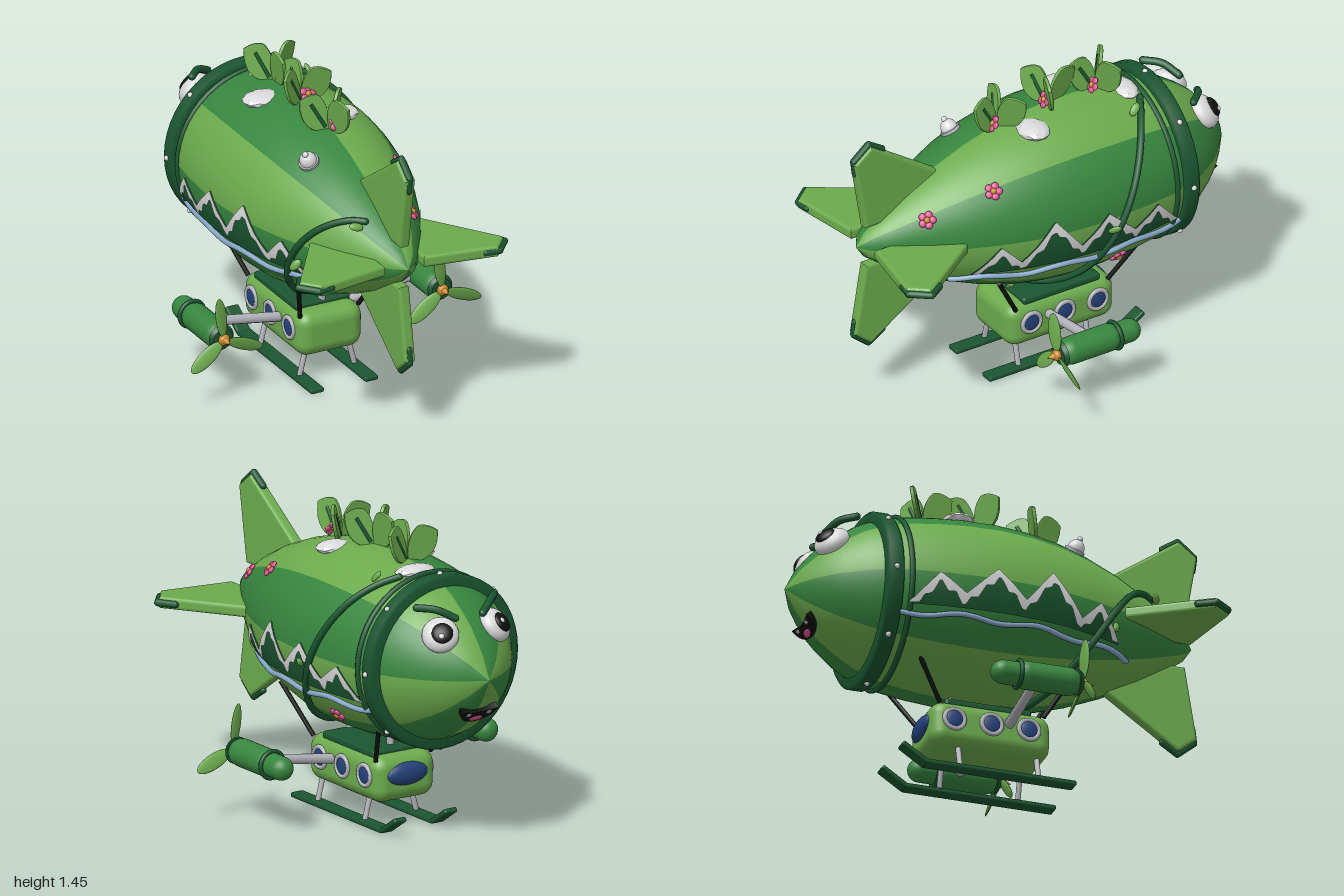
import * as THREE from 'three';
import { RoundedBoxGeometry } from 'three/addons/geometries/RoundedBoxGeometry.js';

const V = (x, y, z) => new THREE.Vector3(x, y, z);
const rad = THREE.MathUtils.degToRad;
const AXIS = 0.855; // height of the hull axis

// Hull profile: [z, radius] from nose to tail
const PROFILE = [[-1, 0], [-0.95, 0.1], [-0.9, 0.165], [-0.85, 0.22], [-0.8, 0.262], [-0.7, 0.33], [-0.6, 0.378],
  [-0.5, 0.402], [-0.35, 0.422], [-0.2, 0.432], [-0.05, 0.433], [0.1, 0.42], [0.25, 0.393], [0.4, 0.348],
  [0.55, 0.288], [0.7, 0.21], [0.85, 0.118], [0.93, 0.06], [0.97, 0]];

function hullRadius(z) {
  let i = 1;
  while (i < PROFILE.length - 1 && PROFILE[i][0] < z) i++;
  const [a, b] = [PROFILE[i - 1], PROFILE[i]];
  return THREE.MathUtils.lerp(a[1], b[1], (z - a[0]) / (b[0] - a[0]));
}
const onHull = (deg, z, off = 0) => {
  const r = hullRadius(z) + off;
  return V(r * Math.cos(rad(deg)), AXIS + r * Math.sin(rad(deg)), z);
};
// Point on the side of the hull at a given height
const onSide = (s, y, z, off) => {
  const r = hullRadius(z) + off;
  return V(s * Math.sqrt(Math.max(0, r * r - (y - AXIS) ** 2)), y, z);
};

export function createModel() {
  const mat = (name, color) => new THREE.MeshStandardMaterial({ name, color, side: THREE.DoubleSide });
  const light = mat('lightGreen', 0x6cab4d), mid = mat('midGreen', 0x37863f), dark = mat('darkGreen', 0x1a5530);
  const metal = mat('metal', 0xb4b4bc), white = mat('white', 0xdadadc), pink = mat('pink', 0xd9508f);
  const orange = mat('orange', 0xc88628), river = mat('riverBlue', 0x86a8c8), glass = mat('windowBlue', 0x24427c);
  const black = mat('black', 0x10140f);

  const model = new THREE.Group();
  model.name = 'airship';
  model.position.x = -0.013;
  const root = new THREE.Group();
  root.add(model);

  const add = (name, geo, m, parent = model, pos, scale) => {
    const mesh = new THREE.Mesh(geo, m);
    mesh.name = name;
    if (pos) mesh.position.set(...pos);
    if (scale) mesh.scale.set(...scale);
    parent.add(mesh);
    return mesh;
  };
  const ball = (name, m, parent, pos, scale) => add(name, new THREE.SphereGeometry(1, 20, 14), m, parent, pos, scale);
  const tube = (name, pts, r, m, parent = model, n = pts.length * 4) => {
    add(name, new THREE.TubeGeometry(new THREE.CatmullRomCurve3(pts), n, r, 8), m, parent);
    for (const p of [pts[0], pts[pts.length - 1]]) add(name + 'End', new THREE.SphereGeometry(r, 8, 6), m, parent, p.toArray());
  };
  const rod = (name, a, b, r, m, parent = model) => {
    const mesh = add(name, new THREE.CylinderGeometry(r, r, a.distanceTo(b), 10), m, parent);
    mesh.position.copy(a).lerp(b, 0.5);
    mesh.quaternion.setFromUnitVectors(V(0, 1, 0), b.clone().sub(a).normalize());
  };
  // Group sitting on the hull: local z points outwards, local y towards the nose
  const seat = (name, deg, z, off = 0) => {
    const g = new THREE.Group();
    g.name = name;
    const e = 0.03, slope = (hullRadius(z + e) - hullRadius(z - e)) / (2 * e);
    const c = Math.cos(rad(deg)), s = Math.sin(rad(deg));
    const n = V(c, s, -slope).normalize(), up = V(-c * slope, -s * slope, -1).normalize();
    g.quaternion.setFromRotationMatrix(new THREE.Matrix4().makeBasis(up.clone().cross(n), up, n));
    g.position.copy(onHull(deg, z)).addScaledVector(n, off);
    model.add(g);
    return g;
  };

  // Striped hull: eight lathe sectors
  const profile = PROFILE.map(([z, r]) => new THREE.Vector2(r, z));
  for (let k = 0; k < 8; k++) {
    const geo = new THREE.LatheGeometry(profile, 6, rad(45 * k + 90), Math.PI / 4).rotateX(Math.PI / 2);
    add('hullStripe', geo, k % 2 ? light : mid, model, [0, AXIS, 0]);
  }

  // Nose band with bolts, and a thin ring behind it
  const bandShape = [[0.36, -0.04], [0.4, -0.04], [0.412, -0.028], [0.412, 0.028], [0.4, 0.04], [0.36, 0.04]];
  add('noseBand', new THREE.LatheGeometry(bandShape.map(p => new THREE.Vector2(...p)), 48).rotateX(Math.PI / 2), dark, model, [0, AXIS, -0.6]);
  add('thinRing', new THREE.TorusGeometry(0.4, 0.013, 8, 48), dark, model, [0, AXIS, -0.52]);
  for (let k = 0; k < 8; k++) {
    const a = k * Math.PI / 4;
    ball('bolt', white, model, [0.412 * Math.cos(a), AXIS + 0.412 * Math.sin(a), -0.6], [0.013, 0.013, 0.013]);
  }

  // Vine winding around the hull, with small leaves
  const vineAngle = z => 70 - 254 * (z + 0.48);
  const vine = [];
  for (let i = 0; i <= 30; i++) {
    const z = -0.48 + 1.22 * i / 30;
    vine.push(onHull(vineAngle(z), z, 0.012));
  }
  tube('vine', vine, 0.016, dark);
  for (const z of [-0.42, -0.16, 0.15, 0.46, 0.71]) {
    const leaf = seat('vineLeaf', vineAngle(z) + 6, z + 0.02, 0.03);
    ball('vineLeafBlade', light, leaf, [0, 0, 0], [0.02, 0.034, 0.012]).rotation.set(0.5, 0.4, 0.6);
  }

  // Four tail fins with dark tip trim
  const finShape = new THREE.Shape([[0.58, 0.12], [0.55, 0.27], [0.9, 0.51], [0.975, 0.45], [0.92, 0.115]].map(p => new THREE.Vector2(...p)));
  const finGeo = new THREE.ExtrudeGeometry(finShape, { depth: 0.026, bevelThickness: 0.015, bevelSize: 0.015, bevelSegments: 3 });
  finGeo.translate(0, 0, -0.013).rotateY(-Math.PI / 2);
  for (let k = 0; k < 4; k++) {
    const fin = new THREE.Group();
    fin.name = 'tailFin';
    fin.position.y = AXIS;
    fin.rotation.z = k * Math.PI / 2;
    add('finBlade', finGeo, light, fin);
    const tip = [V(0, 0.485, 0.83), V(0, 0.532, 0.903), V(0, 0.466, 0.982), V(0, 0.4, 0.974)];
    for (let i = 0; i < 3; i++) tube('finTrim', [tip[i], tip[i + 1]], 0.017, dark, fin);
    model.add(fin);
  }

  // Mountains, snow and river on both sides
  const ridge = [[-0.53, 0.7], [-0.395, 0.85], [-0.27, 0.76], [-0.12, 0.9], [0.02, 0.77], [0.155, 0.935], [0.31, 0.75], [0.41, 0.85], [0.52, 0.7]];
  const top = z => {
    let i = 1;
    while (i < ridge.length - 1 && ridge[i][0] < z) i++;
    const [a, b] = [ridge[i - 1], ridge[i]];
    return THREE.MathUtils.lerp(a[1], b[1], (z - a[0]) / (b[0] - a[0]));
  };
  const snowLine = z => Math.max(0.7, top(z) - 0.035 - 0.03 * Math.abs(((z * 14 + 20) % 1) * 2 - 1));
  const ribbon = (name, s, lower, off, m) => {
    const geo = new THREE.PlaneGeometry(1, 1, 120, 6), p = geo.attributes.position;
    for (let i = 0; i < p.count; i++) {
      const z = -0.53 + 1.05 * (0.5 - s * p.getX(i));
      const q = onSide(s, THREE.MathUtils.lerp(lower(z), top(z), p.getY(i) + 0.5), z, off);
      p.setXYZ(i, q.x, q.y, q.z);
    }
    geo.computeVertexNormals();
    add(name, geo, m);
  };
  for (const s of [1, -1]) {
    ribbon('mountains', s, () => 0.695, 0.01, dark);
    ribbon('snowCaps', s, snowLine, 0.017, white);
    const pts = [];
    for (let i = 0; i <= 28; i++) {
      const z = 0.585 - 1.145 * i / 28;
      pts.push(onSide(s, 0.66 + 0.01 * Math.sin(z * 17), z, 0.008));
    }
    tube('river', pts, 0.013, river);
  }

  // Blossoms
  const blossom = (parent, r) => {
    for (let k = 0; k < 5; k++) {
      const a = k * Math.PI * 0.4;
      ball('petal', pink, parent, [0.6 * r * Math.cos(a), 0.6 * r * Math.sin(a), 0], [0.42 * r, 0.42 * r, 0.22 * r]);
    }
    ball('blossomCentre', orange, parent, [0, 0, 0.1 * r], [0.35 * r, 0.35 * r, 0.3 * r]);
  };
  for (const [deg, z] of [[40, 0.69], [43, 0.39], [-42, -0.245]]) blossom(seat('blossom', deg, z, 0.006), 0.042);

  // Three leafy plants along the top
  const leafShape = new THREE.Shape();
  leafShape.moveTo(0, 0);
  leafShape.bezierCurveTo(0.07, 0, 0.13, 0.04, 0.125, 0.15);
  leafShape.bezierCurveTo(0.1, 0.17, 0.06, 0.185, 0.035, 0.17);
  leafShape.bezierCurveTo(-0.01, 0.12, -0.01, 0.05, 0, 0);
  const leafGeo = new THREE.ExtrudeGeometry(leafShape, { depth: 0.008, bevelThickness: 0.005, bevelSize: 0.004, bevelSegments: 2, curveSegments: 8 }).translate(0, 0, -0.004);
  [[-0.335, 30], [-0.075, 100], [0.205, 50]].forEach(([z, turn]) => {
    const plant = new THREE.Group();
    plant.name = 'plant';
    plant.position.set(0, AXIS + hullRadius(z) - 0.015, z);
    for (let k = 0; k < 3; k++) {
      const leaf = new THREE.Group();
      leaf.name = 'leaf';
      leaf.rotation.y = rad(turn + 120 * k);
      const blade = add('leafBlade', leafGeo, light, leaf, [0.01, 0, 0]);
      blade.rotation.x = 0.15;
      rod('leafRib', V(0.02, 0.02, 0), V(0.085, 0.135, 0.018), 0.011, dark, leaf);
      plant.add(leaf);
    }
    const flower = new THREE.Group();
    flower.name = 'plantFlower';
    flower.position.set(0.02, 0.045, 0.035);
    flower.rotation.x = -0.5;
    blossom(flower, 0.04);
    plant.add(flower);
    model.add(plant);
  });

  // Faceted clouds and a domed vent on top
  const cloudGeo = new THREE.IcosahedronGeometry(1, 1);
  cloudGeo.computeVertexNormals();
  for (const [x, y, z, w, d] of [[0.035, 1.25, -0.45, 0.105, 0.065], [-0.125, 1.255, -0.21, 0.1, 0.08], [0.115, 1.25, 0.085, 0.095, 0.075]])
    add('cloud', cloudGeo, white, model, [x, y, z], [w, 0.032, d]);
  const vent = seat('vent', 119, 0.34);
  add('ventBase', new THREE.CylinderGeometry(0.048, 0.048, 0.025, 20).rotateX(Math.PI / 2), metal, vent);
  ball('ventDome', white, vent, [0, 0, 0.015], [0.04, 0.04, 0.045]);
  ball('ventKnob', white, vent, [0, 0, 0.062], [0.014, 0.014, 0.014]);

  // Face: eyes, brows and mouth
  for (const s of [1, -1]) {
    const eye = seat('eye', s > 0 ? 53 : 127, -0.82, 0.005);
    ball('eyeWhite', white, eye, [0, 0, 0], [0.086, 0.086, 0.055]);
    ball('pupil', black, eye, [0, 0.012, 0.042], [0.05, 0.05, 0.022]);
    ball('eyeGlint', white, eye, [0.018, 0.025, 0.06], [0.013, 0.013, 0.008]);
    tube('eyebrow', [V(s * 0.075, 1.125, -0.835), V(s * 0.15, 1.165, -0.79), V(s * 0.215, 1.17, -0.725)], 0.018, dark);
  }
  const mouth = seat('mouth', -90, -0.89, 0.0);
  const smile = new THREE.Shape();
  smile.moveTo(-0.1, 0.04);
  smile.quadraticCurveTo(0, 0.01, 0.1, 0.04);
  smile.bezierCurveTo(0.09, -0.075, -0.09, -0.075, -0.1, 0.04);
  add('mouthOpening', new THREE.ExtrudeGeometry(smile, { depth: 0.03, bevelEnabled: false }), black, mouth, [0, 0, -0.012]);
  ball('tongue', pink, mouth, [0, -0.022, 0.017], [0.035, 0.018, 0.007]);
  for (const x of [-0.055, 0.055]) add('tooth', new THREE.BoxGeometry(0.02, 0.018, 0.008), white, mouth, [x, 0.016, 0.018]);

  // Gondola with roof, portholes and front window
  add('gondola', new RoundedBoxGeometry(0.335, 0.22, 0.58, 5, 0.065), light, model, [0, 0.235, -0.05]);
  add('gondolaRoof', new RoundedBoxGeometry(0.28, 0.04, 0.42, 3, 0.015), dark, model, [0, 0.345, -0.06]);
  ball('frontWindow', glass, model, [0, 0.255, -0.33], [0.115, 0.055, 0.036]);
  for (const z of [0.13, -0.2]) rod('gondolaPost', V(0, 0.34, z), V(0, 0.46, z), 0.018, metal);

  for (const s of [1, -1]) {
    for (const z of [0.125, -0.055, -0.235]) {
      add('portholeRim', new THREE.TorusGeometry(0.048, 0.011, 8, 24).rotateY(Math.PI / 2), metal, model, [s * 0.168, 0.25, z]);
      ball('portholeGlass', glass, model, [s * 0.166, 0.25, z], [0.012, 0.046, 0.046]);
    }
    // Ropes up to the hull
    rod('rope', V(s * 0.15, 0.33, 0.2), V(s * 0.235, 0.57, 0.345), 0.011, black);
    rod('rope', V(s * 0.15, 0.33, -0.3), V(s * 0.235, 0.57, -0.455), 0.011, black);

    // Landing skids
    add('skid', new RoundedBoxGeometry(0.068, 0.024, 0.73, 2, 0.008), dark, model, [s * 0.14, 0.017, -0.01]);
    add('skidTip', new RoundedBoxGeometry(0.068, 0.024, 0.145, 2, 0.008), dark, model, [s * 0.14, 0.054, -0.425]).rotation.x = 0.58;
    for (const z of [0.18, -0.2]) rod('skidLeg', V(s * 0.143, 0.02, z), V(s * 0.11, 0.15, z), 0.013, metal);

    // Engine on its arm
    rod('engineArm', V(s * 0.15, 0.262, 0.03), V(s * 0.53, 0.322, 0.03), 0.023, metal);
    const engine = new THREE.Group();
    engine.name = 'engine';
    engine.position.set(s * 0.565, 0.325, 0);
    model.add(engine);
    add('engineBody', new THREE.CapsuleGeometry(0.056, 0.2, 6, 24).rotateX(Math.PI / 2), mid, engine, [0, 0, -0.045]);
    add('engineCowl', new THREE.CapsuleGeometry(0.066, 0.2, 6, 24).rotateX(Math.PI / 2), mid, engine, [0, 0, 0.07]);
    add('engineRing', new THREE.TorusGeometry(0.064, 0.01, 8, 28), dark, engine, [0, 0, -0.07]);
    add('engineBack', new THREE.CylinderGeometry(0.05, 0.064, 0.02, 24).rotateX(Math.PI / 2), dark, engine, [0, 0, 0.225]);
    ball('propellerHub', orange, engine, [0, 0, 0.245], [0.028, 0.028, 0.022]);
    add('spinner', new THREE.ConeGeometry(0.022, 0.05, 16).rotateX(Math.PI / 2), orange, engine, [0, 0, 0.275]);
    for (let k = 0; k < 3; k++) {
      const arm = new THREE.Group();
      arm.name = 'propellerBlade';
      arm.rotation.z = rad(8 + 120 * k);
      arm.position.z = 0.245;
      ball('blade', light, arm, [0, 0.115, 0], [0.036, 0.098, 0.009]).rotation.y = 0.35;
      engine.add(arm);
    }
  }
  return root;
}
